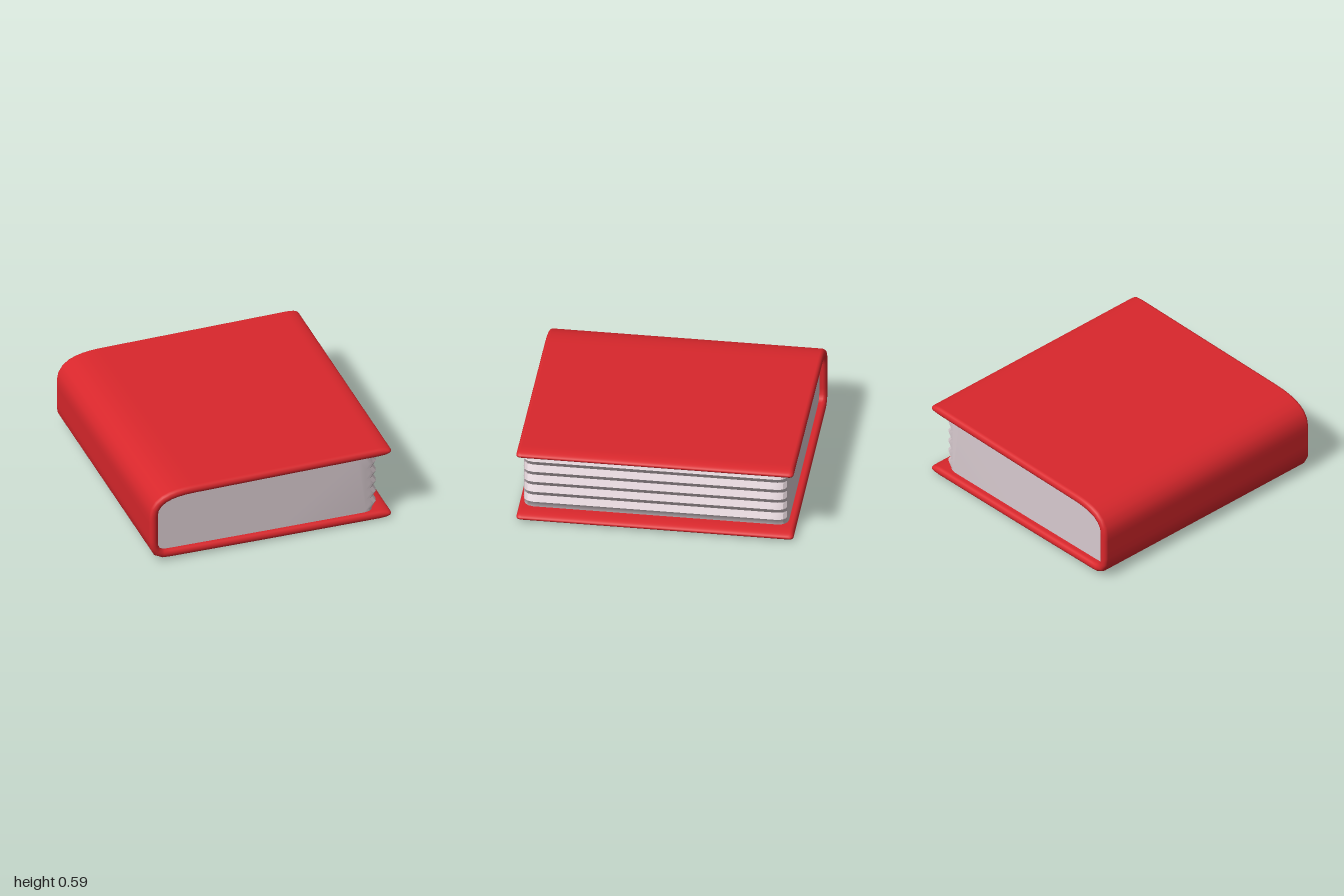
import * as THREE from 'three';
import { mergeVertices, toCreasedNormals } from 'three/addons/utils/BufferGeometryUtils.js';
import { ParametricGeometry } from 'three/addons/geometries/ParametricGeometry.js';

const v2 = (x, y) => new THREE.Vector2(x, y);

// Centre line of the cover: top board, rounded spine, bottom board
function coverPath() {
  const path = new THREE.CurvePath();
  const a = v2(0.92, 0.56), b = v2(-0.58, 0.552), c = v2(-0.885, 0.38);
  const d = v2(-0.885, 0.16), e = v2(-0.79, 0.054), f = v2(0, 0.043), g = v2(0.92, 0.034);
  path.add(new THREE.LineCurve(a, b));
  path.add(new THREE.CubicBezierCurve(b, v2(-0.78, 0.55), v2(-0.885, 0.5), c));
  path.add(new THREE.LineCurve(c, d));
  path.add(new THREE.CubicBezierCurve(d, v2(-0.885, 0.09), v2(-0.85, 0.055), e));
  path.add(new THREE.QuadraticBezierCurve(e, v2(-0.4, 0.048), f));
  path.add(new THREE.LineCurve(f, g));
  return path;
}

// Point on the path, pushed outward by an offset
function offsetPoint(path, t, offset) {
  const p = path.getPoint(t), q = path.getTangent(t);
  return v2(p.x + q.y * offset, p.y - q.x * offset);
}

// Distance by which a rounded corner of radius r pulls in, at distance d from its end
const cornerInset = (d, r) => (d >= r ? 0 : r - Math.sqrt(r * r - (r - d) ** 2));

// Cover: a stadium section swept along the path, tapering at both free edges
function coverGeometry(path) {
  const length = path.getLength(), round = 0.03, taper = 0.1;
  const section = (u, v, target) => {
    const t = THREE.MathUtils.clamp((1 - Math.cos(Math.PI * u)) / 2, 0, 1);
    const d = Math.min(t, 1 - t) * length;
    const k = Math.round(v * 20) % 20, side = k < 10 ? -1 : 1;
    const angle = -Math.PI / 2 + (Math.PI * (k % 10)) / 9 + (k < 10 ? 0 : Math.PI);
    const fade = Math.max(0, 1 - d / taper);
    const half = 0.032 * Math.sqrt(Math.max(0, 1 - fade * fade));
    const p = offsetPoint(path, t, half * Math.sin(angle));
    const reach = 1 - round - cornerInset(d, round);
    target.set(p.x, p.y, side * reach - round * Math.cos(angle));
  };
  const geometry = new ParametricGeometry(section, 120, 20);
  geometry.deleteAttribute('normal');
  geometry.deleteAttribute('uv');
  const merged = mergeVertices(geometry, 1e-4);
  merged.computeVertexNormals();
  return merged;
}

// Pages: fill the cover, with a toothed fore-edge and rounded upright corners
function pagesGeometry(path) {
  const start = 0.125 / path.getLength(), points = [];
  for (let i = 0; i <= 60; i++) {
    points.push(offsetPoint(path, start + (1 - 2 * start) * (i / 60), -0.026));
  }
  for (let i = 0; i <= 10; i++) points.push(v2(i % 2 ? 0.83 : 0.8, 0.085 + 0.0425 * i));
  const depth = 1.91, radius = 0.07;
  const geometry = new THREE.ExtrudeGeometry(new THREE.Shape(points), {
    depth, steps: 24, bevelEnabled: false,
  });
  const pos = geometry.attributes.position;
  for (let i = 0; i < pos.count; i++) {
    const z = (depth * (1 - Math.cos((Math.PI * pos.getZ(i)) / depth))) / 2;
    if (pos.getX(i) > 0.7) {
      pos.setX(i, pos.getX(i) - cornerInset(Math.max(0, Math.min(z, depth - z)), radius));
    }
    pos.setZ(i, z - 0.945);
  }
  return toCreasedNormals(geometry, 0.5);
}

export function createModel() {
  const group = new THREE.Group();
  group.name = 'book';
  const path = coverPath();
  const addPart = (name, geometry, color) => {
    const mesh = new THREE.Mesh(geometry, new THREE.MeshStandardMaterial({ color }));
    mesh.name = name;
    group.add(mesh);
  };
  addPart('cover', coverGeometry(path), 0xd9272c);
  addPart('pages', pagesGeometry(path), 0xd8cacf);
  return group;
}
